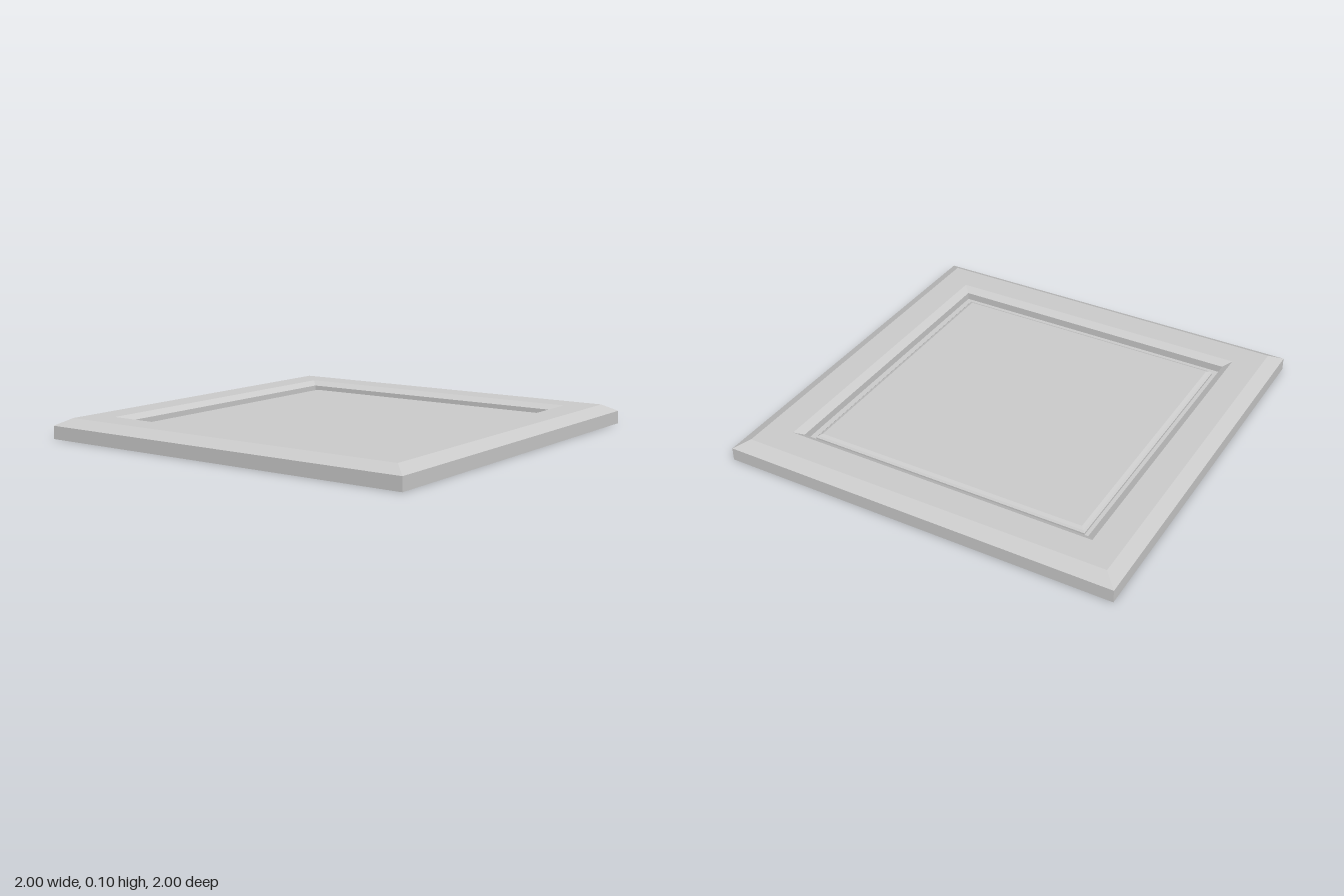
import * as THREE from 'three';

const material = new THREE.MeshStandardMaterial({ color: 0xcccccc, flatShading: true, side: THREE.DoubleSide });

// Sweeps a profile of [half width, height] points around a square with mitred corners
function squareSweep(name, profile) {
  const points = profile.map(([half, y]) => new THREE.Vector2(half * Math.SQRT2, y));
  const geometry = new THREE.LatheGeometry(points, 4, Math.PI / 4).toNonIndexed();
  geometry.computeVertexNormals();
  const mesh = new THREE.Mesh(geometry, material);
  mesh.name = name;
  return mesh;
}

export function createModel() {
  const group = new THREE.Group();
  group.name = 'squarePanel';

  // Outer frame: side wall, chamfer, flat face, sloped inner lip and groove wall
  group.add(squareSweep('frame', [
    [1, 0], [1, 0.065], [0.935, 0.1], [0.795, 0.1], [0.757, 0.077], [0.757, 0.04],
  ]));

  // Floor of the groove between frame and panel
  group.add(squareSweep('groove', [[0.757, 0.04], [0.72, 0.04]]));

  // Raised centre panel: short wall, bevelled edge and flat face
  group.add(squareSweep('centrePanel', [
    [0.72, 0.04], [0.72, 0.05], [0.712, 0.058], [0.696, 0.065], [0, 0.065],
  ]));

  return group;
}
